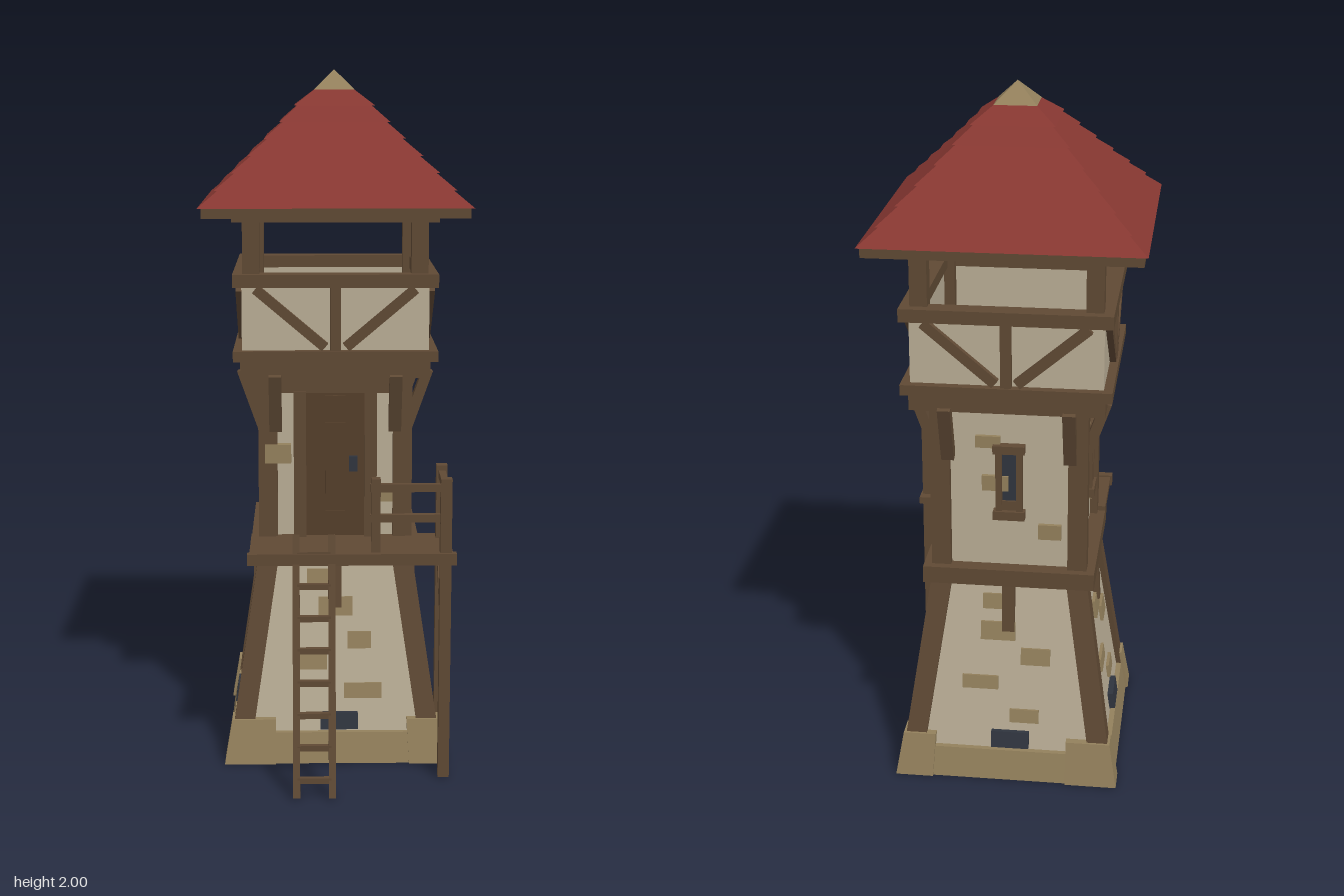
import * as THREE from 'three';

const mat = (name, color) => {
  const m = new THREE.MeshStandardMaterial({ color });
  m.name = name;
  return m;
};

export function createModel() {
  const wood = mat('timber', 0x5f4934);
  const doorWood = mat('door wood', 0x543e2a);
  const plaster = mat('plaster', 0xb9ad95);
  const stone = mat('stone', 0x93805c);
  const tile = mat('roof tile', 0x863731);
  const slate = mat('dark slate', 0x30353f);

  const model = new THREE.Group();
  model.name = 'watchtower';
  const tower = new THREE.Group();
  tower.name = 'tower';
  tower.position.z = -0.1;
  model.add(tower);

  const add = (parent, name, geo, m) => {
    const mesh = new THREE.Mesh(geo, m);
    mesh.name = name;
    parent.add(mesh);
    return mesh;
  };
  // Box from minimum to maximum corner
  const box = (p, name, m, x0, x1, y0, y1, z0, z1) => {
    const mesh = add(p, name, new THREE.BoxGeometry(x1 - x0, y1 - y0, z1 - z0), m);
    mesh.position.set((x0 + x1) / 2, (y0 + y1) / 2, (z0 + z1) / 2);
    return mesh;
  };
  // Plate centred at u, v, standing out from z0 by depth
  const plate = (p, name, m, u, v, w, h, z0, depth) =>
    box(p, name, m, u - w / 2, u + w / 2, v - h / 2, v + h / 2, z0, z0 + depth);
  // Block with different rectangles [x0, x1, z0, z1] at bottom and top
  const taper = (p, name, m, y0, y1, bottom, top) => {
    const geo = new THREE.BoxGeometry(1, 1, 1);
    const a = geo.attributes.position;
    for (let i = 0; i < a.count; i++) {
      const up = a.getY(i) > 0, r = up ? top : bottom;
      a.setXYZ(i, r[a.getX(i) > 0 ? 1 : 0], up ? y1 : y0, r[a.getZ(i) > 0 ? 3 : 2]);
    }
    geo.computeVertexNormals();
    return add(p, name, geo, m);
  };
  const square = (h) => [-h, h, -h, h];
  // Straight beam between two points
  const beam = (p, name, m, from, to, w, d) => {
    const a = new THREE.Vector3(...from), b = new THREE.Vector3(...to);
    const dir = b.clone().sub(a);
    const mesh = add(p, name, new THREE.BoxGeometry(w, dir.length(), d), m);
    mesh.position.copy(a).add(b).multiplyScalar(0.5);
    mesh.quaternion.setFromUnitVectors(new THREE.Vector3(0, 1, 0), dir.normalize());
    return mesh;
  };

  // Solid cores
  taper(tower, 'lowerWall', plaster, 0.02, 0.61, square(0.297), square(0.2085));
  taper(tower, 'plinth', stone, 0, 0.09, square(0.318), square(0.302));
  box(tower, 'middleBelt', wood, -0.245, 0.245, 0.6, 0.65, -0.245, 0.245);
  box(tower, 'upperWall', plaster, -0.2, 0.2, 0.64, 1.15, -0.2, 0.2);
  box(tower, 'ledge', wood, -0.27, 0.27, 1.14, 1.19, -0.27, 0.27);
  box(tower, 'deck', wood, -0.29, 0.29, 1.19, 1.22, -0.29, 0.29);

  // Corners
  for (const sx of [-1, 1]) for (const sz of [-1, 1]) {
    const corner = new THREE.Group();
    corner.name = 'corner';
    tower.add(corner);
    const rect = (o, wx, wz = wx) => {
      const xs = [sx * o, sx * (o - wx)].sort((a, b) => a - b);
      const zs = [sz * o, sz * (o - wz)].sort((a, b) => a - b);
      return [...xs, ...zs];
    };
    taper(corner, 'cornerStone', stone, 0, 0.13, rect(0.325, sx < 0 ? 0.15 : 0.11, 0.078),
      rect(0.303, sx < 0 ? 0.128 : 0.095, 0.064));
    taper(corner, 'slopedPost', wood, 0.02, 0.61, rect(0.312, 0.06), rect(0.224, 0.06));
    taper(corner, 'wallPost', wood, 0.64, 1.15, rect(0.222, 0.055), rect(0.222, 0.055));
    taper(corner, 'roofPost', wood, 1.2, 1.6, rect(0.262, 0.048), rect(0.262, 0.048));
  }

  // Stones set in the walls, per side: [u, height, width, height of stone]
  const frontStones = [[-0.05, 0.545, 0.065, 0.05], [0, 0.46, 0.1, 0.055], [0.07, 0.36, 0.07, 0.05],
    [-0.07, 0.295, 0.09, 0.045], [0.08, 0.21, 0.11, 0.045]];
  const sideStones = [[-0.045, 0.545, 0.06, 0.045], [-0.03, 0.455, 0.1, 0.055], [0.08, 0.38, 0.085, 0.05],
    [-0.08, 0.295, 0.105, 0.04], [0.05, 0.195, 0.085, 0.04]];
  const upperStones = [[-0.06, 1.03, 0.07, 0.035], [-0.04, 0.905, 0.075, 0.045], [0.115, 0.76, 0.065, 0.045]];

  // Four sides, each built facing +z and turned about the tower
  ['front', 'left', 'back', 'right'].forEach((label, i) => {
    const side = new THREE.Group();
    side.name = label + 'Side';
    side.rotation.y = i * Math.PI / 2;
    tower.add(side);

    const slope = new THREE.Group();
    slope.name = 'slopedFace';
    slope.position.z = 0.297;
    slope.rotation.x = -Math.atan(0.15);
    side.add(slope);
    for (const [u, v, w, h] of i ? sideStones : frontStones) plate(slope, 'wallStone', stone, u, v, w, h, -0.01, 0.022);
    plate(slope, 'vent', slate, 0.01, 0.122, 0.11, 0.05, -0.01, 0.03);
    taper(side, 'beltStrut', wood, 0.455, 0.61, [-0.018, 0.018, 0.2, 0.247], [-0.018, 0.018, 0.2, 0.24]);

    if (i) {
      // Narrow window
      plate(side, 'windowPane', slate, 0, 0.93, 0.045, 0.16, 0.198, 0.009);
      for (const s of [-1, 1]) plate(side, 'windowJamb', wood, s * 0.029, 0.91, 0.018, 0.2, 0.195, 0.025);
      plate(side, 'windowLintel', wood, 0, 1.013, 0.09, 0.024, 0.195, 0.032);
      plate(side, 'windowSill', wood, 0, 0.812, 0.09, 0.026, 0.195, 0.032);
      plate(side, 'windowApron', wood, 0, 0.838, 0.045, 0.03, 0.195, 0.018);
      for (const [u, v, w, h] of upperStones) plate(side, 'wallStone', stone, u, v, w, h, 0.19, 0.022);
    } else {
      // Door
      plate(side, 'door', doorWood, 0, 0.87, 0.17, 0.44, 0.195, 0.016);
      for (const s of [-1, 1]) plate(side, 'doorJamb', wood, s * 0.102, 0.87, 0.036, 0.45, 0.195, 0.035);
      plate(side, 'doorLintel', wood, 0, 1.115, 0.33, 0.052, 0.195, 0.03);
      for (const [v, h] of [[0.88, 0.24], [1.05, 0.06], [0.715, 0.05]])
        plate(side, 'doorPanel', doorWood, 0, v, 0.058, h, 0.2, 0.019);
      plate(side, 'doorHandle', slate, 0.052, 0.88, 0.024, 0.045, 0.2, 0.025);
      plate(side, 'wallStone', stone, -0.165, 0.91, 0.075, 0.055, 0.19, 0.036);
      plate(side, 'wallStone', stone, 0.145, 0.785, 0.05, 0.04, 0.19, 0.022);
    }

    // Parapet with timber framing
    box(side, 'parapetPanel', plaster, -0.265, 0.265, 1.21, 1.41, 0.245, 0.265);
    box(side, 'parapetRail', wood, -0.29, 0.29, 1.4, 1.437, 0.235, 0.29);
    box(side, 'parapetStud', wood, -0.015, 0.015, 1.21, 1.41, 0.262, 0.284);
    box(side, 'roofPlate', wood, -0.29, 0.29, 1.583, 1.605, 0.21, 0.29);
    for (const s of [-1, 1]) {
      beam(side, 'parapetBrace', wood, [s * 0.225, 1.395, 0.272], [s * 0.03, 1.23, 0.272], 0.028, 0.022);
      beam(side, 'ledgeBrace', wood, [s * 0.172, 0.98, 0.208], [s * 0.172, 1.15, 0.268], 0.036, 0.03);
    }
  });

  // Roof in overlapping courses
  const roof = new THREE.Group();
  roof.name = 'roof';
  tower.add(roof);
  box(roof, 'eaves', wood, -0.37, 0.37, 1.6, 1.63, -0.37, 0.37);
  const halves = [0.38, 0.335, 0.29, 0.245, 0.2, 0.157, 0.115, 0.065];
  for (let i = 0; i < 7; i++) {
    const y = 1.628 + i * 0.0453;
    taper(roof, 'tileCourse', tile, y, y + 0.0455, square(halves[i]), square(halves[i + 1] - 0.01));
  }
  taper(roof, 'roofCap', stone, 1.943, 2, square(0.059), square(0.0005));

  // Entrance platform with railing
  const porch = new THREE.Group();
  porch.name = 'platform';
  model.add(porch);
  box(porch, 'platformFloor', wood, -0.245, 0.33, 0.643, 0.664, 0.09, 0.315);
  box(porch, 'platformBeam', wood, -0.25, 0.338, 0.636, 0.669, 0.31, 0.336);
  for (const z of [0.295, 0.117]) box(porch, 'platformPost', wood, 0.292, 0.324, 0, 0.88, z, z + 0.03);
  box(porch, 'railPost', wood, 0.098, 0.124, 0.66, 0.88, 0.292, 0.318);
  for (const y of [0.842, 0.755]) box(porch, 'frontRail', wood, 0.095, 0.3, y, y + 0.022, 0.297, 0.315);
  box(porch, 'sideRail', wood, 0.298, 0.318, 0.843, 0.865, 0.125, 0.315);
  beam(porch, 'platformBrace', wood, [0.307, 0.45, 0.305], [0.307, 0.64, 0.135], 0.024, 0.026);

  // Ladder
  const ladder = new THREE.Group();
  ladder.name = 'ladder';
  model.add(ladder);
  const ladderZ = (y) => 0.47 - 0.222 * y;
  for (const x of [-0.113, -0.013]) beam(ladder, 'ladderRail', wood, [x, 0.002, ladderZ(0)], [x, 0.72, ladderZ(0.72)], 0.02, 0.016);
  for (let i = 0; i < 8; i++) {
    const y = 0.05 + i * 0.088;
    box(ladder, 'rung', wood, -0.11, -0.016, y - 0.008, y + 0.008, ladderZ(y) - 0.008, ladderZ(y) + 0.008);
  }
  return model;
}
